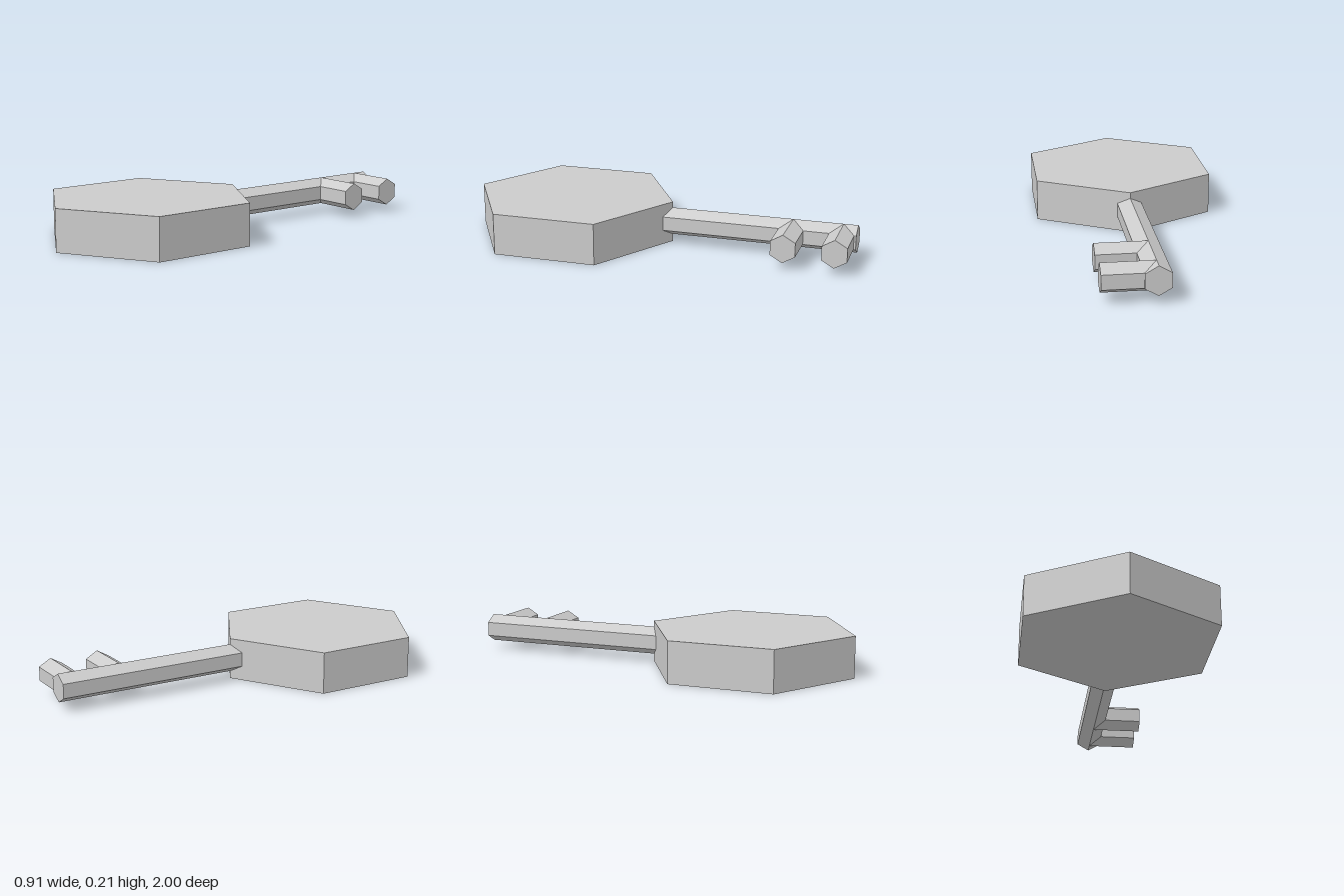
import * as THREE from 'three';

const material = new THREE.MeshStandardMaterial({ color: 0xcccccc, flatShading: true });

// Six-sided prism standing on its axis, with corners towards +z and -z
function hexPrism(name, radius, length) {
  const mesh = new THREE.Mesh(new THREE.CylinderGeometry(radius, radius, length, 6), material);
  mesh.name = name;
  return mesh;
}

export function createModel() {
  const key = new THREE.Group();
  key.name = 'key';
  const rodRadius = 0.071;
  const rodY = 0.109;

  // Flat hexagonal head
  const head = hexPrism('head', 0.527, 0.21);
  head.position.set(0, 0.105, 0.473);
  key.add(head);

  // Shaft running back from the head, ridge upwards
  const shaftStart = 0.03;
  const shaft = hexPrism('shaft', rodRadius, shaftStart + 1);
  shaft.geometry.rotateX(Math.PI / 2);
  shaft.position.set(0, rodY, (shaftStart - 1) / 2);
  key.add(shaft);

  // Two teeth on the left side of the shaft
  const toothLength = 0.254;
  [-0.678, -0.928].forEach((z, i) => {
    const tooth = hexPrism(i ? 'endTooth' : 'innerTooth', rodRadius, toothLength);
    tooth.geometry.rotateX(Math.PI / 2).rotateY(Math.PI / 2);
    tooth.position.set(toothLength / 2, rodY, z);
    key.add(tooth);
  });

  return key;
}
